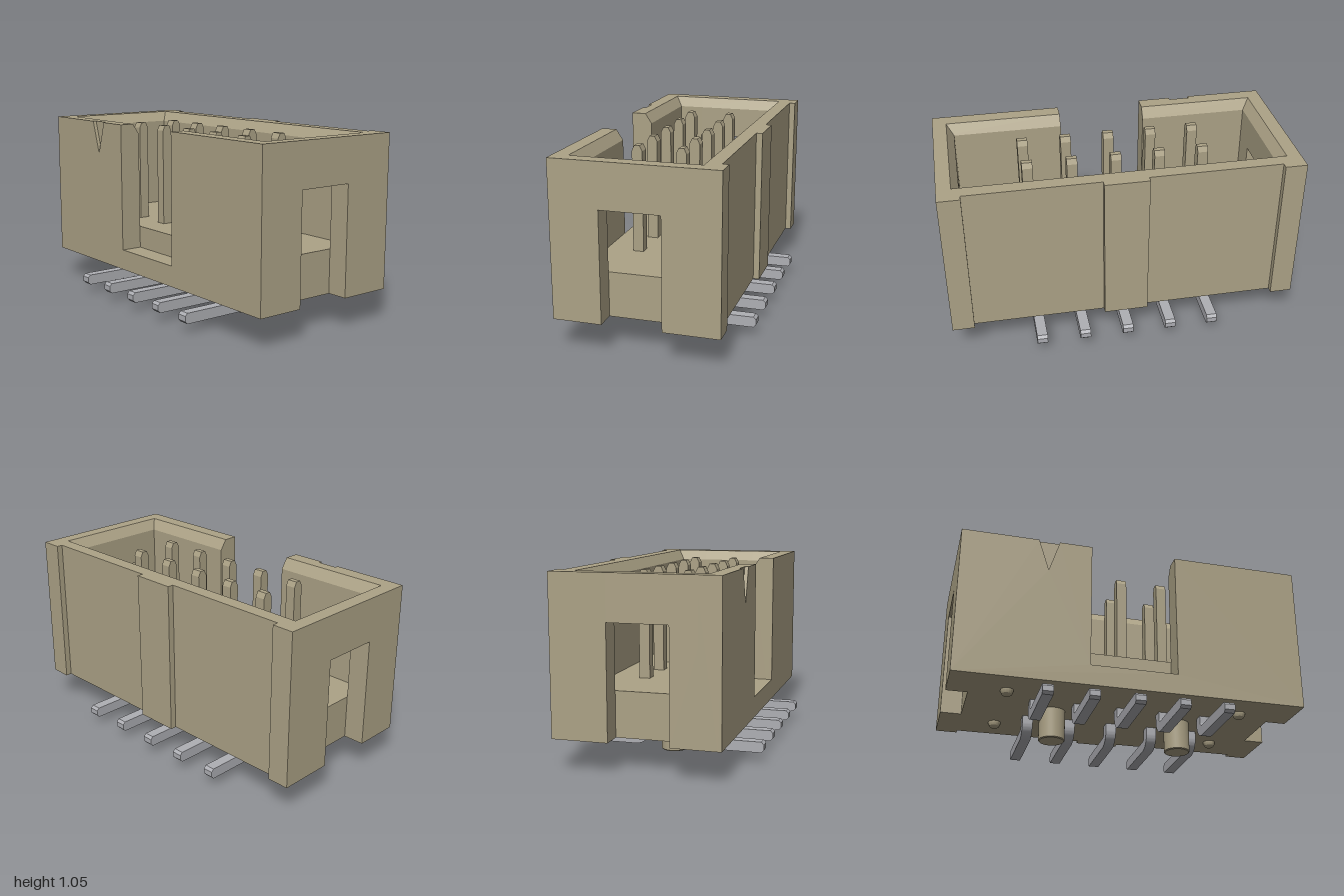
import * as THREE from 'three';
import { toCreasedNormals } from 'three/addons/utils/BufferGeometryUtils.js';

const housing = new THREE.MeshStandardMaterial({ color: 0xaca286 });
housing.name = 'beigePlastic';
const metal = new THREE.MeshStandardMaterial({ color: 0xaeafb4 });
metal.name = 'greyMetal';

function add(parent, name, geometry, material = housing) {
  const mesh = new THREE.Mesh(geometry, material);
  mesh.name = name;
  parent.add(mesh);
  return mesh;
}

// Box given by its limits on each axis
function block(x0, x1, y0, y1, z0, z1) {
  return new THREE.BoxGeometry(x1 - x0, y1 - y0, z1 - z0)
    .translate((x0 + x1) / 2, (y0 + y1) / 2, (z0 + z1) / 2);
}

const polygon = (pts) => new THREE.Shape(pts.map(([a, b]) => new THREE.Vector2(a, b)));

// Outline in (x, y), extruded from z0 to z1
function prismZ(shape, z0, z1) {
  return new THREE.ExtrudeGeometry(shape, { depth: z1 - z0, bevelEnabled: false, curveSegments: 10 })
    .translate(0, 0, z0);
}

// Outline in (z, y), extruded from x0 to x1
function prismX(shape, x0, x1) {
  return prismZ(shape, -x1, -x0).rotateY(-Math.PI / 2);
}

const BOTTOM = 0.18, TOP = 1.05, LIP = 0.99, FLOOR = 0.43;

// Wall section whose inner top edge is chamfered
const wallSection = (outer, inner, lip, y0) =>
  polygon([[outer, y0], [outer, TOP], [lip, TOP], [inner, LIP], [inner, y0]]);

function createShroud() {
  const g = new THREE.Group();
  g.name = 'shroud';
  add(g, 'floor', block(-0.88, 0.88, BOTTOM, FLOOR, -0.33, 0.31));

  // Front skin with the key slot and the triangular pin-one notch
  add(g, 'frontSkin', prismZ(polygon([
    [-1, BOTTOM], [1, BOTTOM], [1, TOP], [0.25, TOP], [0.25, 0.3], [-0.25, 0.3],
    [-0.25, TOP], [-0.44, TOP], [-0.5, 0.86], [-0.56, TOP], [-1, TOP],
  ]), 0.415, 0.435));
  for (const [x0, x1] of [[-1, -0.25], [0.25, 1]]) {
    const cut = 0.12; // the side windows run past the corners
    add(g, 'frontWall', prismX(wallSection(0.415, 0.31, 0.35, BOTTOM), x0, x1)).userData.cut = cut;
  }
  add(g, 'slotSill', block(-0.25, 0.25, BOTTOM, 0.3, 0.31, 0.415));

  // Back wall and its three outer ribs
  add(g, 'backWall', prismX(wallSection(-0.44, -0.32, -0.36, BOTTOM), -1, 1));
  for (const [x0, x1] of [[-1, -0.875], [-0.125, 0.125], [0.875, 1]]) {
    add(g, 'backRib', block(x0, x1, BOTTOM, TOP, -0.475, -0.44));
  }

  // End walls, each with a window open at the bottom
  for (const s of [-1, 1]) {
    const section = (y0) => wallSection(s, s * 0.88, s * 0.92, y0);
    add(g, 'endWallFront', prismZ(section(BOTTOM), 0.165, 0.415));
    add(g, 'endWallBack', prismZ(section(BOTTOM), -0.44, -0.165));
    add(g, 'endLintel', prismZ(section(0.8), -0.165, 0.165));
  }
  return g;
}

// Bent surface-mount tail, outline in (z, y)
function tailGeometry() {
  const s = new THREE.Shape();
  s.moveTo(0.095, 0.19);
  s.lineTo(0.095, 0.14);
  s.absarc(0.18, 0.14, 0.085, Math.PI, Math.PI * 1.5, false);
  s.lineTo(0.535, 0.055);
  s.lineTo(0.55, 0.07);
  s.lineTo(0.55, 0.1);
  s.lineTo(0.535, 0.115);
  s.lineTo(0.18, 0.115);
  s.absarc(0.18, 0.14, 0.025, Math.PI * 1.5, Math.PI, true);
  s.lineTo(0.155, 0.19);
  return toCreasedNormals(prismX(s, -0.03, 0.03), 0.5);
}

// Upright pin with a chamfered tip, outline in (z, y)
function pinGeometry() {
  return prismX(polygon([
    [0.095, 0.4], [0.155, 0.4], [0.155, 1], [0.14, 1.03], [0.11, 1.03], [0.095, 1],
  ]), -0.03, 0.03);
}

function createContacts() {
  const g = new THREE.Group();
  g.name = 'contacts';
  const pin = pinGeometry(), tail = tailGeometry();
  for (const turn of [0, Math.PI]) {
    const row = new THREE.Group();
    row.name = turn ? 'backRow' : 'frontRow';
    row.rotation.y = turn;
    for (let i = -2; i <= 2; i++) {
      add(row, 'pin', pin).position.x = i * 0.25;
      add(row, 'solderTail', tail, metal).position.x = i * 0.25;
    }
    g.add(row);
  }
  return g;
}

// Turned part, profile in (radius, y)
function turned(pts) {
  return toCreasedNormals(
    new THREE.LatheGeometry(pts.map(([r, y]) => new THREE.Vector2(r, y)), 32), 0.5);
}

export function createModel() {
  const model = new THREE.Group();
  model.name = 'boxHeader';
  model.add(createShroud(), createContacts());

  // Locating pegs and small standoff bumps under the floor
  const peg = turned([[0, 0], [0.07, 0], [0.075, 0.005], [0.075, 0.19]]);
  const bump = turned([[0, 0.145], [0.018, 0.146], [0.03, 0.155], [0.036, 0.17], [0.036, 0.19]]);
  for (const s of [-1, 1]) {
    add(model, 'locatingPeg', peg).position.x = s * 0.375;
    for (const z of [-0.25, 0.25]) add(model, 'standoffBump', bump).position.set(s * 0.675, 0, z);
  }
  return model;
}
